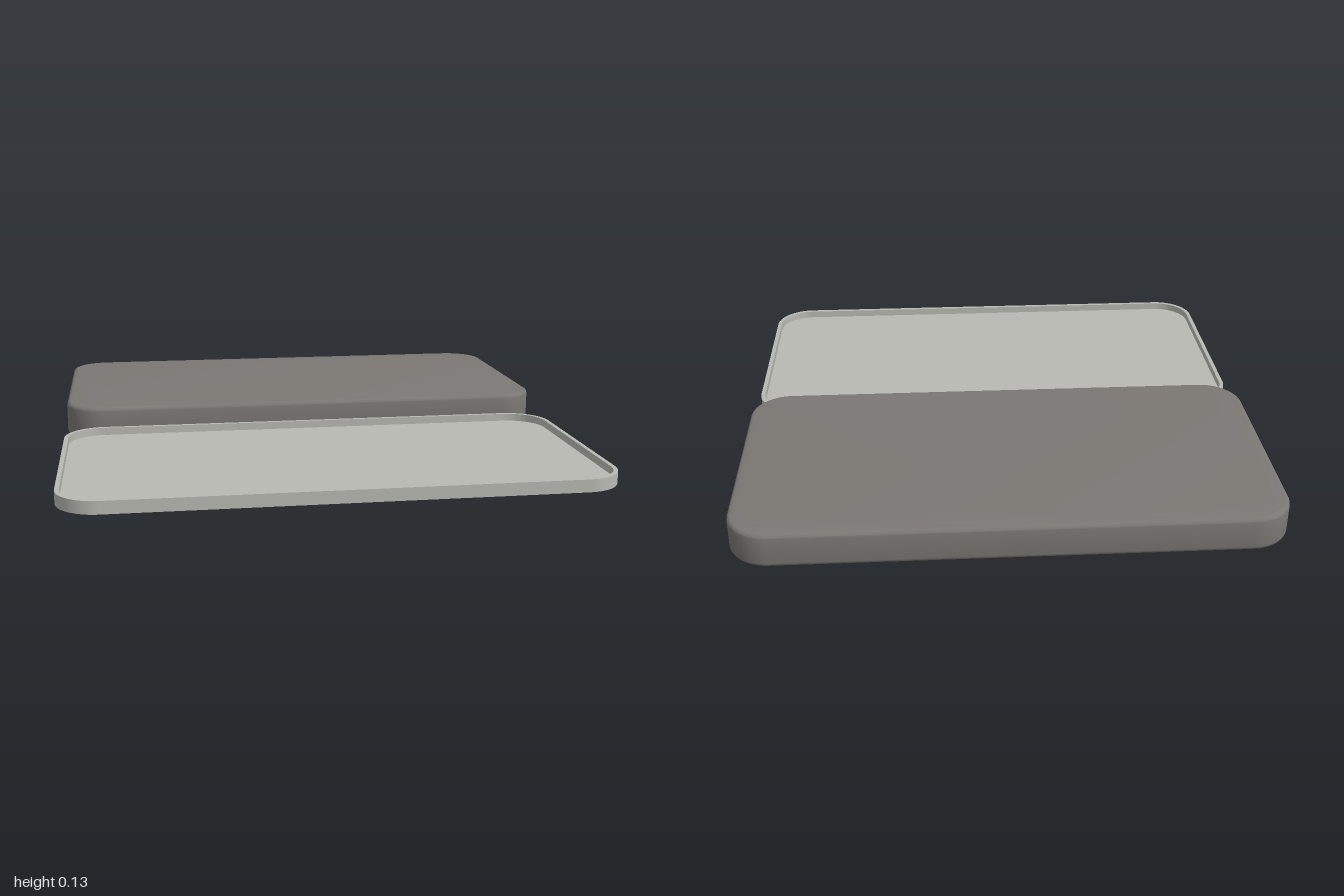
import * as THREE from 'three';
import { toCreasedNormals } from 'three/addons/utils/BufferGeometryUtils.js';

const slabGrey = new THREE.MeshStandardMaterial({ color: 0x7b7874 });
slabGrey.name = 'warm dark grey';
const trayGrey = new THREE.MeshStandardMaterial({ color: 0xb8b9b1 });
trayGrey.name = 'pale grey';

// Rounded rectangle outline, centred on the origin
function roundedRect(width, depth, radius, Type = THREE.Shape) {
  const x = width / 2, y = depth / 2, r = radius;
  const s = new Type();
  s.moveTo(x, -y + r);
  s.absarc(x - r, y - r, r, 0, Math.PI / 2);
  s.absarc(-x + r, y - r, r, Math.PI / 2, Math.PI);
  s.absarc(-x + r, -y + r, r, Math.PI, Math.PI * 1.5);
  s.absarc(x - r, -y + r, r, Math.PI * 1.5, Math.PI * 2);
  return s;
}

// Extrude an outline upward from y = bottom to y = top, with optional rounded edges
function plate(name, shape, bottom, top, z, material, bevel = 0) {
  const geometry = new THREE.ExtrudeGeometry(shape, {
    depth: top - bottom - 2 * bevel,
    curveSegments: 12,
    bevelEnabled: bevel > 0,
    bevelThickness: bevel,
    bevelSize: bevel,
    bevelOffset: -bevel,
    bevelSegments: 4,
  });
  geometry.rotateX(-Math.PI / 2);
  geometry.translate(0, bottom + bevel, z);
  const mesh = new THREE.Mesh(toCreasedNormals(geometry, 0.6), material);
  mesh.name = name;
  return mesh;
}

export function createModel() {
  const model = new THREE.Group();
  model.name = 'openCase';
  const width = 1.955, depth = 0.996, radius = 0.15, wall = 0.016;

  // Thick case body with softened edges, at the back
  model.add(plate('caseBody', roundedRect(width, depth, radius), 0, 0.13, -0.502, slabGrey, 0.016));

  // Shallow lid lying open at the front: floor plus raised rim
  const lid = new THREE.Group();
  lid.name = 'lid';
  const inner = [width - 2 * wall, depth - 2 * wall, radius - wall];
  const rim = roundedRect(width, depth, radius);
  rim.holes.push(roundedRect(...inner, THREE.Path));
  lid.add(plate('lidFloor', roundedRect(...inner), 0.008, 0.025, 0.502, trayGrey));
  lid.add(plate('lidRim', rim, 0.008, 0.054, 0.502, trayGrey));
  model.add(lid);

  return model;
}
